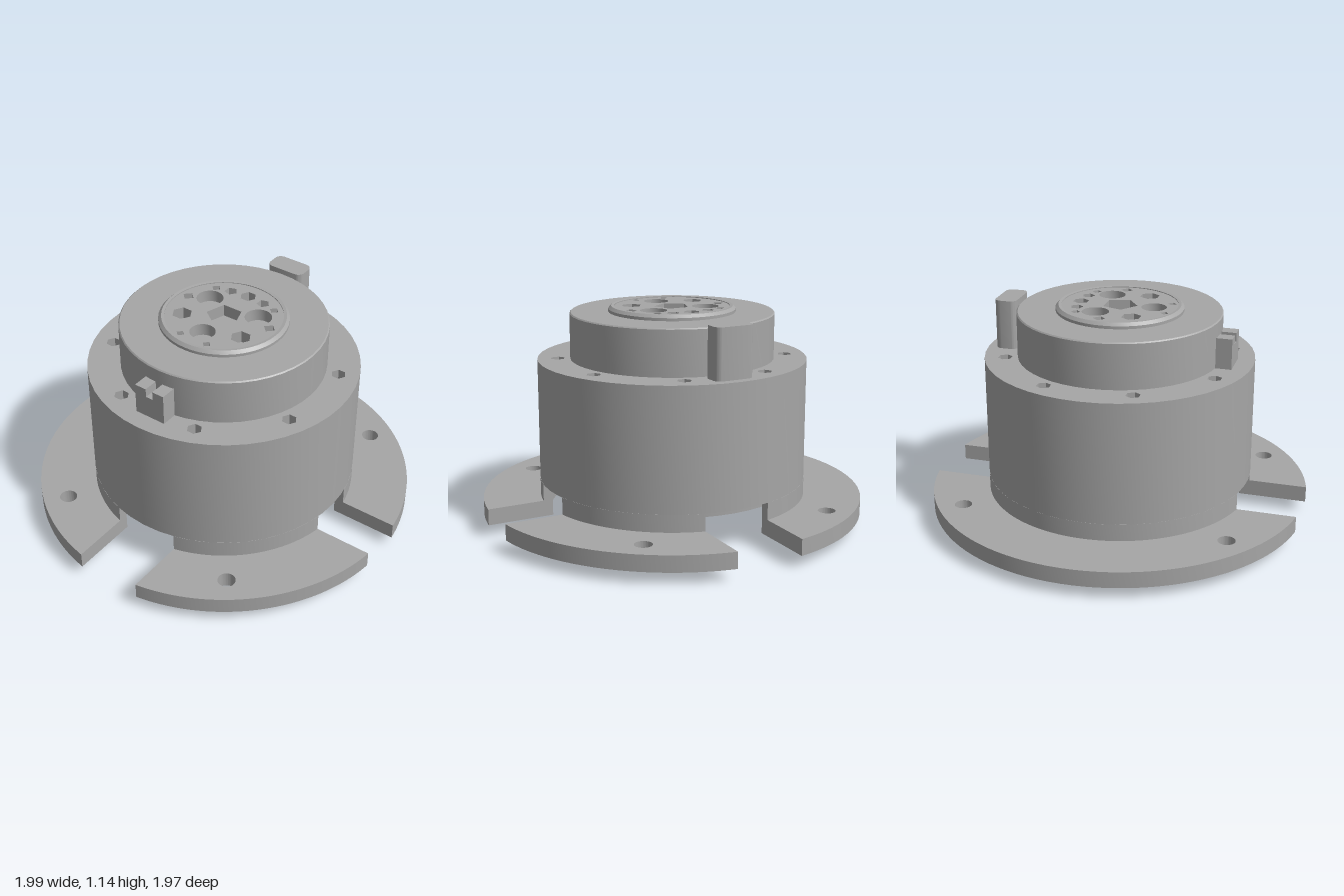
import * as THREE from 'three';
import { toCreasedNormals } from 'three/addons/utils/BufferGeometryUtils.js';

const metal = new THREE.MeshStandardMaterial({ color: 0xa6a6a6 });
metal.name = 'grey metal';

export function createModel() {
  const model = new THREE.Group();

  function add(name, geometry) {
    const mesh = new THREE.Mesh(toCreasedNormals(geometry, 0.5), metal);
    mesh.name = name;
    model.add(mesh);
    return mesh;
  }

  // Plan shapes use (x, -z); they are raised from y0 to y1
  function slab(name, shape, y0, y1, curveSegments = 24) {
    const g = new THREE.ExtrudeGeometry(shape, { depth: y1 - y0, bevelEnabled: false, curveSegments });
    return add(name, g.rotateX(-Math.PI / 2).translate(0, y0, 0));
  }

  function lathe(name, points) {
    return add(name, new THREE.LatheGeometry(points.map(p => new THREE.Vector2(...p)), 48));
  }

  function circle(x, z, r, Type = THREE.Path) {
    return new Type().absarc(x, -z, r, 0, Math.PI * 2, false);
  }

  function polygon(x, z, r, sides, Type = THREE.Path, turn = 0) {
    const pts = [];
    for (let i = 0; i < sides; i++) {
      const a = turn + i / sides * Math.PI * 2;
      pts.push(new THREE.Vector2(x + r * Math.cos(a), -z + r * Math.sin(a)));
    }
    return new Type(pts);
  }

  function roundedRect(x0, x1, z0, z1, r) {
    const s = new THREE.Shape(), b = -z1, t = -z0, q = Math.PI / 2;
    s.absarc(x1 - r, b + r, r, -q, 0, false);
    s.absarc(x1 - r, t - r, r, 0, q, false);
    s.absarc(x0 + r, t - r, r, q, 2 * q, false);
    s.absarc(x0 + r, b + r, r, 2 * q, 3 * q, false);
    return s;
  }

  // Ring piece between two parallel-sided slots of half width w0 and w1
  function sector(r0, r1, a0, w0, a1, w1) {
    const start = r => a0 + (w0 ? Math.asin(w0 / r) : 0);
    const end = r => a1 - (w1 ? Math.asin(w1 / r) : 0);
    const s = new THREE.Shape();
    s.absarc(0, 0, r1, start(r1), end(r1), false);
    s.absarc(0, 0, r0, end(r0), start(r0), true);
    return s;
  }

  // Slotted flange in three pieces, with the notched skirt above it
  const q = Math.PI / 2, wide = 0.177, narrow = 0.125;
  const pieces = [
    { span: [0, narrow, q, wide], holes: [[0.52, -0.695]] },
    { span: [q, wide, 3 * q, wide], holes: [[-0.52, -0.695], [-0.52, 0.695]] },
    { span: [3 * q, wide, 4 * q, narrow], holes: [[0.52, 0.695]] },
  ];
  for (const { span, holes } of pieces) {
    const flange = sector(0.65, 1, ...span);
    holes.forEach(([x, z]) => flange.holes.push(circle(x, z, 0.045)));
    slab('flange', flange, 0.06, 0.145);
    slab('skirt', sector(0.65, 0.7, ...span), 0.145, 0.235);
  }

  // Main drum with eight hexagonal holes
  const drum = circle(0, 0, 0.7, THREE.Shape);
  for (const sx of [-1, 1]) for (const sz of [-1, 1]) {
    drum.holes.push(polygon(sx * 0.225, sz * 0.55, 0.038, 6));
    drum.holes.push(polygon(sx * 0.55, sz * 0.225, 0.038, 6));
  }
  slab('drum', drum, 0.235, 0.87);

  // Underside with a shallow recess and four socket screws
  lathe('underside', [[0, 0.225], [0.47, 0.225], [0.47, 0.2], [0.65, 0.2], [0.65, 0.236]]);
  for (let i = 0; i < 4; i++) {
    const a = Math.PI / 4 + i * q;
    const x = 0.38 * Math.cos(a), z = 0.38 * Math.sin(a);
    const head = circle(x, z, 0.053, THREE.Shape);
    head.holes.push(polygon(x, z, 0.025, 6));
    slab('screwHead', head, 0.195, 0.226, 12);
  }

  // Locating pins under the flange
  slab('smallPin', circle(-0.355, 0.7, 0.022, THREE.Shape), 0, 0.07, 8);
  slab('largePin', circle(0.355, -0.692, 0.031, THREE.Shape), 0, 0.07, 8);

  // Collar with a sunken floor and a raised rim
  lathe('collar', [[0.53, 0.87], [0.53, 1.104], [0.524, 1.11], [0.3, 1.11], [0.3, 1.07], [0, 1.07]]);
  lathe('capRim', [[0.33, 1.11], [0.33, 1.125], [0.315, 1.14], [0.3, 1.138], [0.3, 1.07]]);

  // Pierced cap face
  const face = circle(0, 0, 0.301, THREE.Shape);
  face.holes.push(polygon(0, 0, 0.092, 5, THREE.Path, -q));
  face.holes.push(polygon(0, -0.21, 0.042, 6));
  face.holes.push(circle(0, 0.18, 0.065));
  for (const s of [-1, 1]) {
    face.holes.push(circle(s * 0.15, -0.085, 0.069));
    face.holes.push(polygon(s * 0.1, -0.2, 0.034, 5));
    face.holes.push(polygon(s * 0.18, -0.18, 0.025, 4));
    face.holes.push(polygon(s * 0.25, -0.035, 0.032, 4));
    face.holes.push(polygon(s * 0.18, 0.11, 0.052, 6));
    face.holes.push(polygon(s * 0.08, 0.255, 0.022, 4));
  }
  slab('capFace', face, 1.07, 1.134, 16);

  // Notched front lug and tall back lug
  const lug = new THREE.Shape([
    [-0.085, 0.87], [0.085, 0.87], [0.085, 1.03], [0.02, 1.03],
    [0.02, 0.985], [-0.02, 0.985], [-0.02, 1.03], [-0.085, 1.03],
  ].map(p => new THREE.Vector2(...p)));
  const lugGeometry = new THREE.ExtrudeGeometry(lug, { depth: 0.085, bevelEnabled: false });
  add('frontLug', lugGeometry.translate(0, 0, 0.52));
  slab('backLug', roundedRect(-0.105, 0.105, -0.652, -0.535, 0.035), 0.87, 1.13, 6);

  return model;
}
